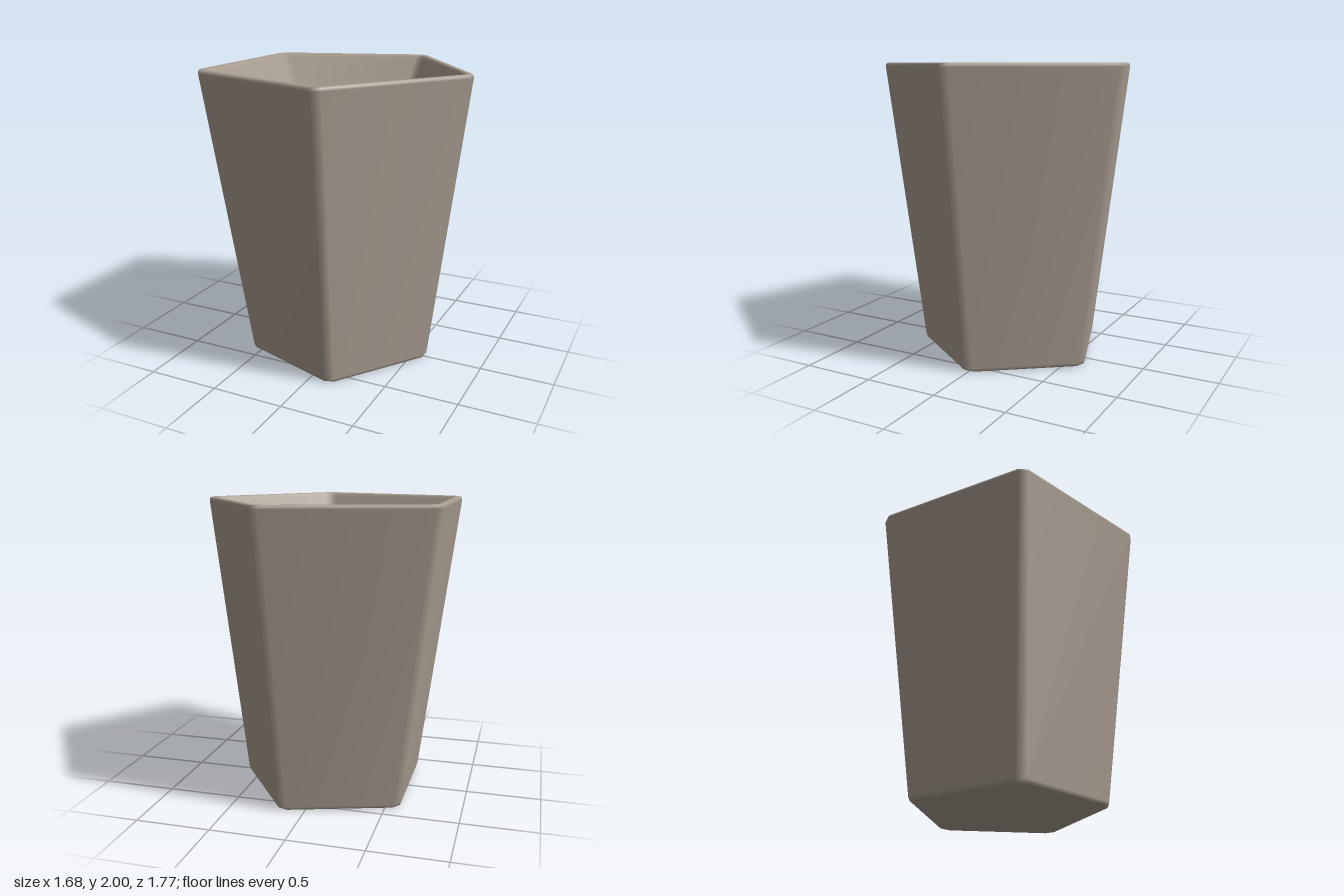
import * as THREE from 'three';

const CUT = 0.034;      // half width of the small facet on each corner
const RADIUS = 0.9436;  // sharp pentagon radius at the rim
const SHIFT = -0.0766;  // pentagon centre, so the outline is centred on x = 0
const SIDES = 10;       // five walls and five corner facets

// Pentagon outline with clipped corners at height y, scaled about the axis
function outline(scale, y) {
  const points = [];
  const corner = (k) => {
    const a = (k * 2 * Math.PI) / 5;
    return new THREE.Vector3((SHIFT + RADIUS * Math.cos(a)) * scale, y, RADIUS * Math.sin(a) * scale);
  };
  const step = CUT / Math.sin(0.3 * Math.PI);
  for (let k = 0; k < 5; k++) {
    const c = corner(k);
    for (const n of [k - 1, k + 1]) {
      points.push(c.clone().addScaledVector(corner(n).sub(c).normalize(), step));
    }
  }
  return points;
}

// Skin through a list of [scale, y] outlines
function skin(profile, capBottom) {
  const points = profile.flatMap(([s, y]) => outline(s, y));
  const index = [];
  for (let i = 0; i < profile.length - 1; i++) {
    for (let j = 0; j < SIDES; j++) {
      const k = (j + 1) % SIDES;
      const a = i * SIDES + j, b = i * SIDES + k;
      const c = a + SIDES, d = b + SIDES;
      index.push(a, c, b, b, c, d);
    }
  }
  if (capBottom) {
    const centre = points.push(new THREE.Vector3(0, profile[0][1], 0)) - 1;
    for (let j = 0; j < SIDES; j++) index.push(centre, j, (j + 1) % SIDES);
  }
  return finish(points, index);
}

// Flat upward-facing floor
function floorDisc(scale, y) {
  const points = outline(scale, y);
  points.push(new THREE.Vector3(0, y, 0));
  const index = [];
  for (let j = 0; j < SIDES; j++) index.push(SIDES, (j + 1) % SIDES, j);
  return finish(points, index);
}

function finish(points, index) {
  const geometry = new THREE.BufferGeometry().setFromPoints(points);
  geometry.setIndex(index);
  geometry.computeVertexNormals();
  return geometry;
}

export function createModel() {
  const group = new THREE.Group();
  group.name = 'pentagonalPot';
  const material = new THREE.MeshStandardMaterial({ color: 0xa89c90 });
  const floorScale = 0.388, floorY = 1.1;

  // Bevelled base, tapered outside, rounded rim and sloping inside
  const body = new THREE.Mesh(skin([
    [0.682, 0], [0.704, 0.008], [0.715, 0.03],
    [1, 1.975], [0.995, 1.992], [0.98, 2],
    [0.95, 2], [0.935, 1.992], [0.925, 1.975],
    [floorScale, floorY],
  ], true), material);
  body.name = 'potWall';

  // Small raised floor inside
  const floor = new THREE.Mesh(floorDisc(floorScale, floorY), material);
  floor.name = 'innerFloor';

  group.add(body, floor);
  return group;
}
